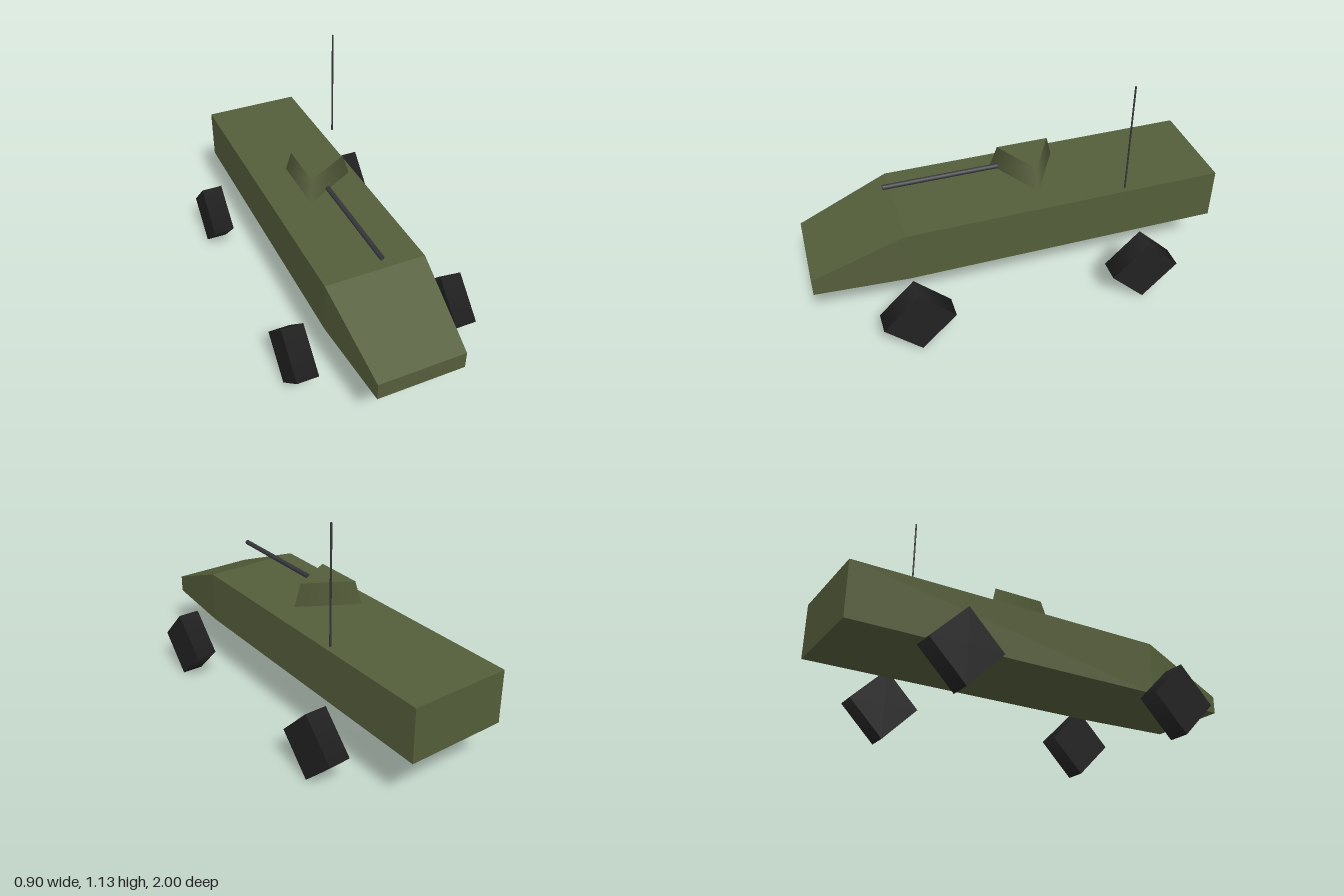
import * as THREE from 'three';

const mat = (name, color) => {
  const m = new THREE.MeshStandardMaterial({ color });
  m.name = name;
  return m;
};

// Hull skin over rectangular sections, listed from back to front
function hullGeometry(sections) {
  const rings = sections.map(({ z, w, bottom, top }) => [
    [-w, bottom, z], [w, bottom, z], [w, top, z], [-w, top, z],
  ]);
  const pos = [];
  const quad = (a, b, c, d) => [a, b, c, a, c, d].forEach((p) => pos.push(...p));
  for (let s = 0; s < rings.length - 1; s++) {
    const back = rings[s], front = rings[s + 1];
    for (let i = 0; i < 4; i++) {
      const j = (i + 1) % 4;
      quad(back[i], back[j], front[j], front[i]);
    }
  }
  const [r0, r1, r2, r3] = rings[0];
  quad(r3, r2, r1, r0);
  quad(...rings[rings.length - 1]);
  const g = new THREE.BufferGeometry();
  g.setAttribute('position', new THREE.Float32BufferAttribute(pos, 3));
  g.computeVertexNormals(); // unshared corners keep the faces flat
  return g;
}

export function createModel() {
  const model = new THREE.Group();
  model.name = 'armouredCar';
  const green = mat('olive green', 0x545d3a);
  const rubber = mat('tyre black', 0x222222);
  const metal = mat('gun metal', 0x36373c);

  const add = (name, geometry, material, x = 0, y = 0, z = 0) => {
    const mesh = new THREE.Mesh(geometry, material);
    mesh.name = name;
    mesh.position.set(x, y, z);
    model.add(mesh);
    return mesh;
  };

  // Box hull with a tapered, sloping nose
  add('hull', hullGeometry([
    { z: -1, w: 0.246, bottom: 0.258, top: 0.518 },
    { z: 0.56, w: 0.246, bottom: 0.258, top: 0.518 },
    { z: 1, w: 0.21, bottom: 0.252, top: 0.338 },
  ]), green);

  // Three-sided turret, one corner pointing left
  add('turret', new THREE.CylinderGeometry(0.147, 0.182, 0.11, 3), green, 0, 0.626, -0.096)
    .rotation.y = Math.PI / 2;

  // Gun barrel
  add('gunBarrel', new THREE.CylinderGeometry(0.012, 0.012, 0.555, 8), metal, 0, 0.627, 0.33)
    .rotation.x = Math.PI / 2;

  // Aerial
  add('antenna', new THREE.CylinderGeometry(0.0045, 0.0045, 0.555, 6), metal, 0.275, 0.848, -0.494);

  // Four-sided wheels
  const wheel = new THREE.CylinderGeometry(0.169, 0.169, 0.105, 4);
  for (const [side, x] of [['Left', 0.4], ['Right', -0.4]]) {
    for (const [end, z] of [['front', 0.558], ['rear', -0.562]]) {
      add(`${end}${side}Wheel`, wheel, rubber, x, 0.169, z).rotation.z = Math.PI / 2;
    }
  }
  return model;
}
